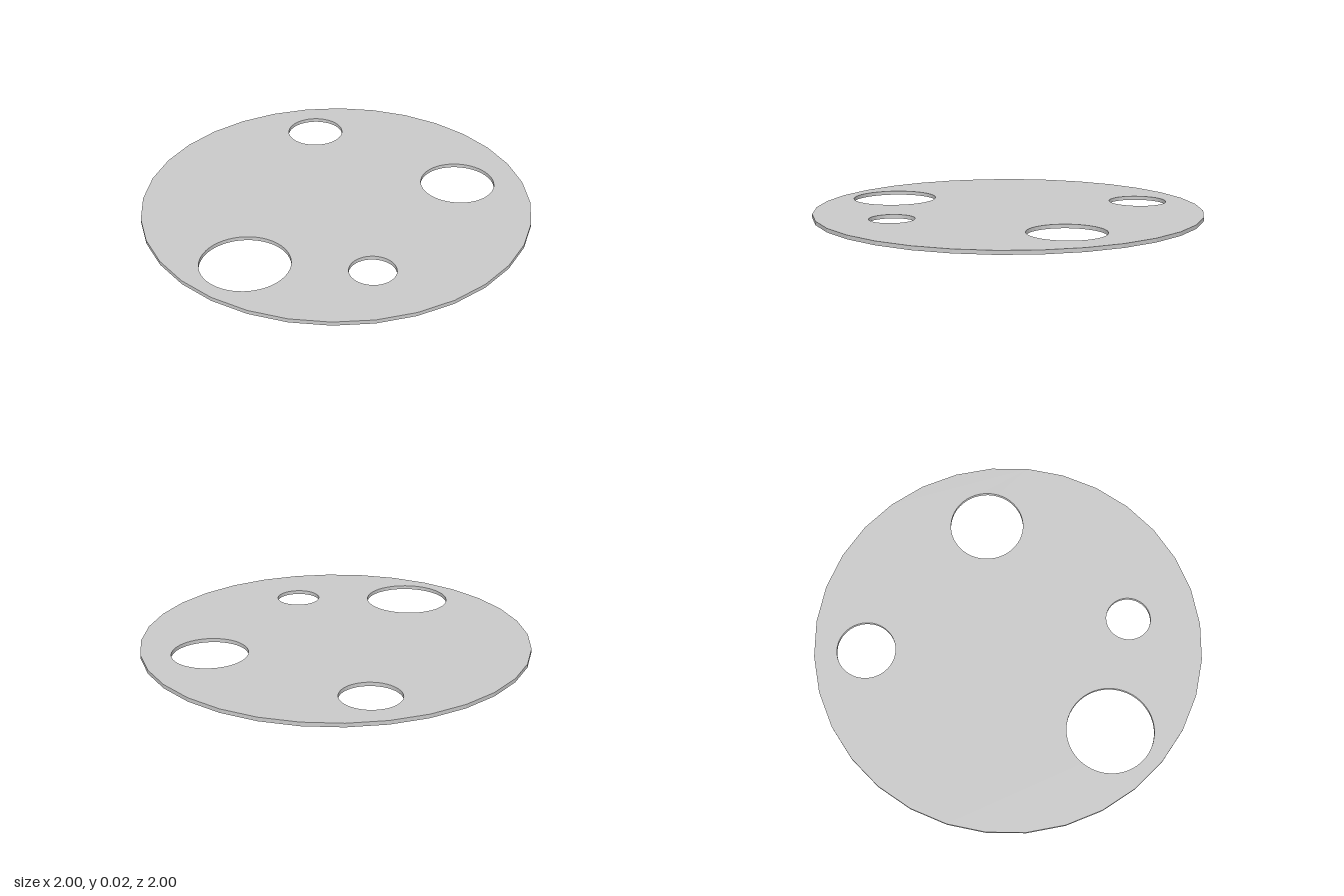
import * as THREE from 'three';

const THICKNESS = 0.02;

// Holes through the plate: centre x, centre z, radius
const HOLES = [
  [-0.51, -0.525, 0.151],
  [0.428, -0.505, 0.193],
  [0.492, 0.403, 0.115],
  [-0.04, 0.703, 0.221],
];

// Regular polygon in the plate's plane (shape y is -z)
function ring(x, z, radius, sides) {
  const points = [];
  for (let i = 0; i < sides; i++) {
    const a = (i / sides) * Math.PI * 2;
    points.push(new THREE.Vector2(x + radius * Math.cos(a), -z + radius * Math.sin(a)));
  }
  return points;
}

export function createModel() {
  const group = new THREE.Group();
  group.name = 'perforatedDisc';

  // Thin 32-sided disc with four round holes
  const shape = new THREE.Shape(ring(0, 0, 1, 32));
  for (const [x, z, r] of HOLES) shape.holes.push(new THREE.Path(ring(x, z, r, 48)));

  const geometry = new THREE.ExtrudeGeometry(shape, { depth: THICKNESS, bevelEnabled: false });
  geometry.rotateX(-Math.PI / 2);

  const material = new THREE.MeshStandardMaterial({ color: 0xcccccc, flatShading: true });
  const plate = new THREE.Mesh(geometry, material);
  plate.name = 'plate';
  group.add(plate);
  return group;
}
